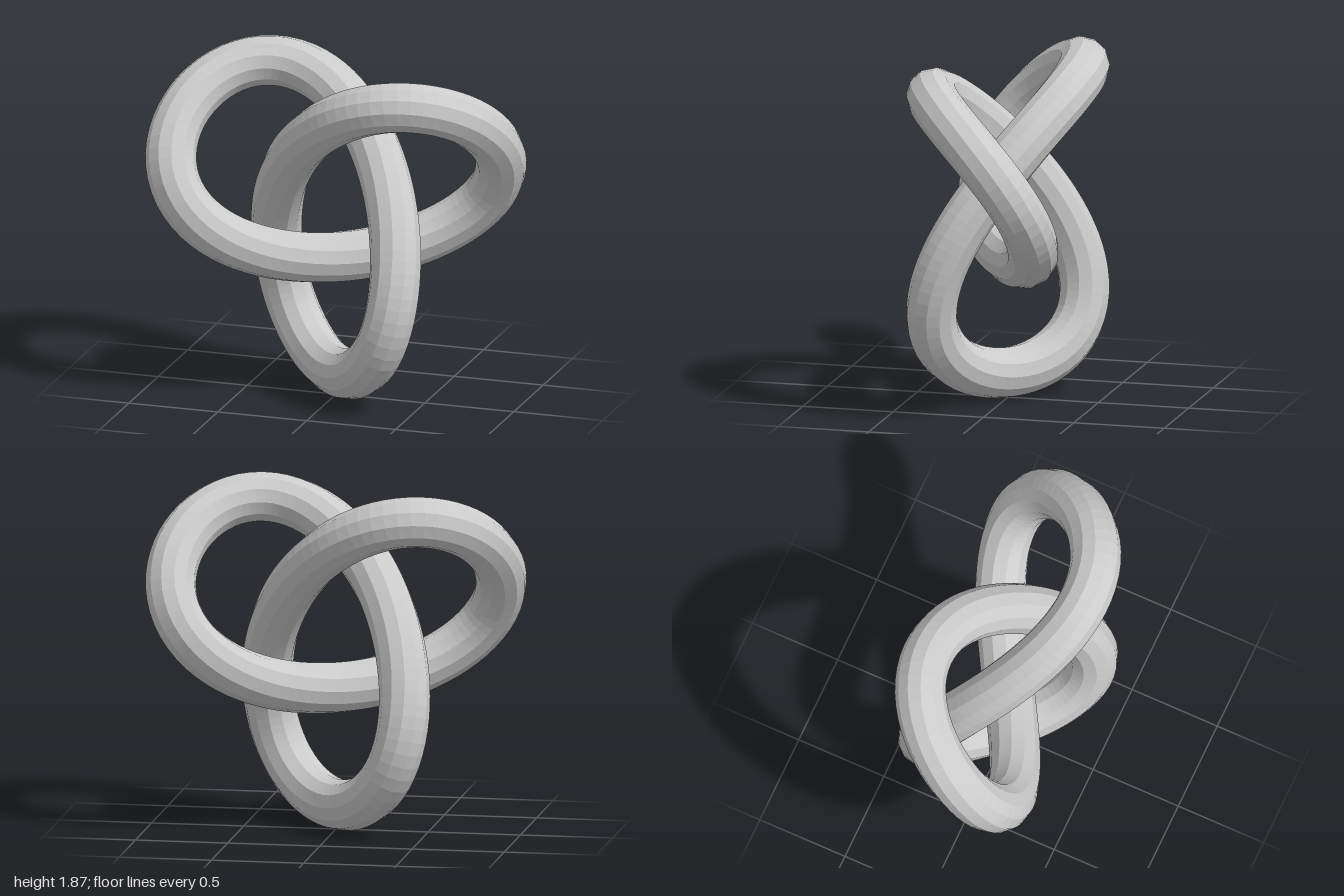
import * as THREE from 'three';

const SCALE = 0.316, CENTRE_Y = 1.085, TUBE_RADIUS = 0.137;

// Centre line of a trefoil knot, one lobe pointing down
class TrefoilCurve extends THREE.Curve {
  getPoint(u, target = new THREE.Vector3()) {
    const t = u * Math.PI * 2;
    return target.set(
      SCALE * (Math.sin(t) + 2 * Math.sin(2 * t)),
      SCALE * (Math.cos(t) - 2 * Math.cos(2 * t)) + CENTRE_Y,
      -SCALE * Math.sin(3 * t)
    );
  }
}

export function createModel() {
  const group = new THREE.Group();
  group.name = 'trefoilKnot';

  // Closed faceted tube
  const tube = new THREE.Mesh(
    new THREE.TubeGeometry(new TrefoilCurve(), 160, TUBE_RADIUS, 12, true),
    new THREE.MeshStandardMaterial({ color: 0xcccccc, flatShading: true })
  );
  tube.name = 'knotTube';
  group.add(tube);
  return group;
}
